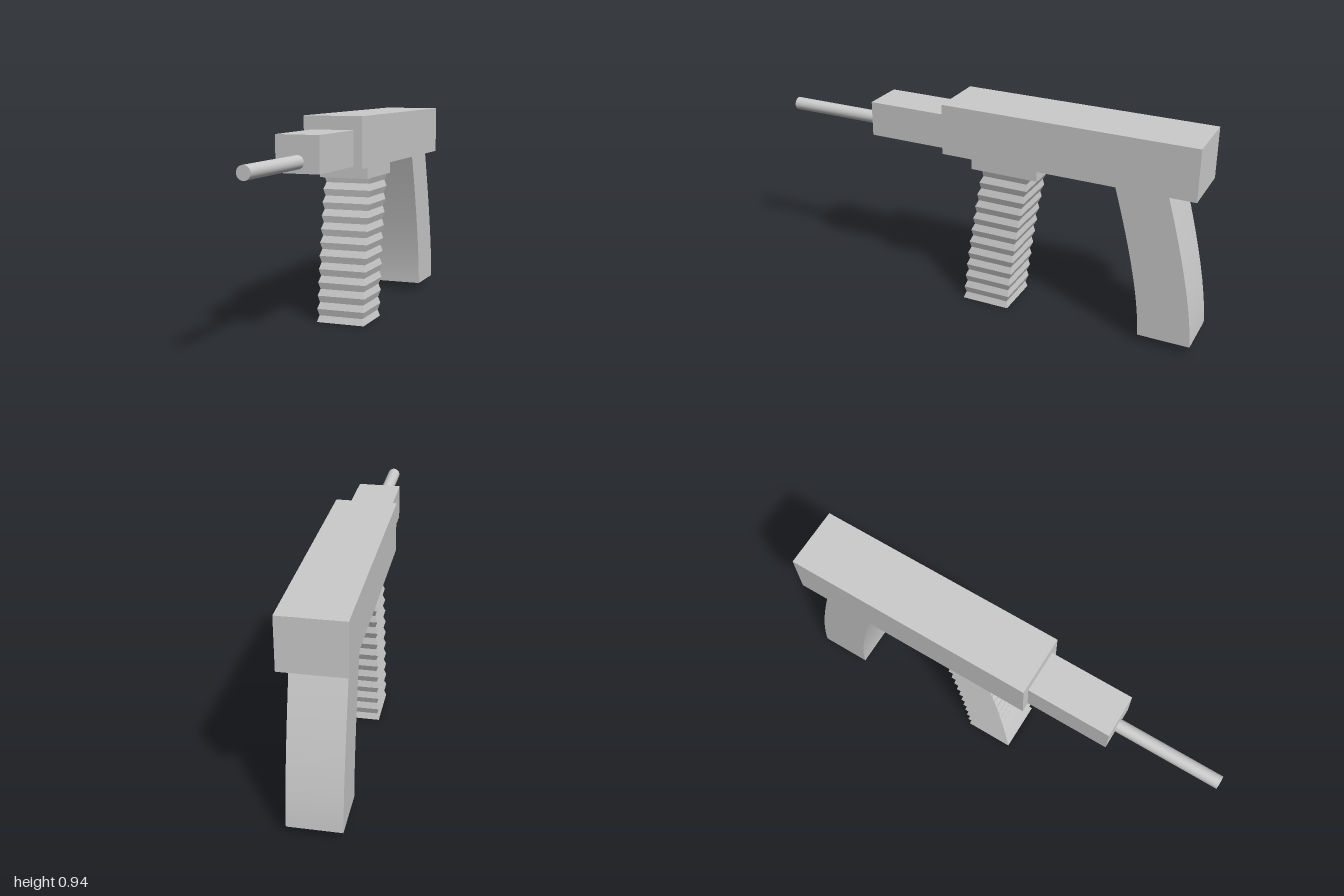
import * as THREE from 'three';
import { toCreasedNormals } from 'three/addons/utils/BufferGeometryUtils.js';

const material = new THREE.MeshStandardMaterial({ color: 0xcccccc });
const flatMaterial = new THREE.MeshStandardMaterial({ color: 0xcccccc, flatShading: true });

function addMesh(group, name, geometry, mat = material) {
  const mesh = new THREE.Mesh(geometry, mat);
  mesh.name = name;
  group.add(mesh);
  return mesh;
}

// Box centred on x, given by its half width and its y and z ranges
function addBox(group, name, halfWidth, y0, y1, z0, z1) {
  const mesh = addMesh(group, name, new THREE.BoxGeometry(2 * halfWidth, y1 - y0, z1 - z0));
  mesh.position.set(0, (y0 + y1) / 2, (z0 + z1) / 2);
}

// Stack of rectangles, alternately wide and narrow, along a backward bend
function ridgedGripGeometry() {
  const levels = 22, step = 0.03, positions = [], index = [];
  for (let i = 0; i <= levels; i++) {
    const t = i / levels;
    const wide = i % 2 === 0;
    const hx = wide ? 0.113 : 0.104;
    const hz = wide ? 0.111 : 0.102;
    const zc = -0.044 - 0.055 * t - 0.041 * t * t;
    const y = i * step;
    positions.push(-hx, y, zc + hz, hx, y, zc + hz, hx, y, zc - hz, -hx, y, zc - hz);
  }
  for (let i = 0; i < levels; i++) {
    for (let k = 0; k < 4; k++) {
      const a = i * 4 + k, b = i * 4 + (k + 1) % 4;
      index.push(a, b, b + 4, a, b + 4, a + 4);
    }
  }
  // Bottom and top caps
  const n = levels * 4;
  index.push(0, 2, 1, 0, 3, 2, n, n + 1, n + 2, n, n + 2, n + 3);
  const geometry = new THREE.BufferGeometry();
  geometry.setAttribute('position', new THREE.Float32BufferAttribute(positions, 3));
  geometry.setIndex(index);
  const flat = geometry.toNonIndexed();
  flat.computeVertexNormals();
  return flat;
}

// Side profile (z, y) swept across the width
function rearGripGeometry() {
  const shape = new THREE.Shape();
  shape.moveTo(-0.63, 0.715);
  shape.quadraticCurveTo(-0.765, 0.265, -0.77, 0.035);
  shape.lineTo(-1.0, 0.035);
  shape.quadraticCurveTo(-0.99, 0.265, -0.856, 0.715);
  shape.closePath();
  const geometry = new THREE.ExtrudeGeometry(shape, { depth: 0.226, bevelEnabled: false, curveSegments: 16 });
  geometry.translate(0, 0, -0.113);
  geometry.rotateY(-Math.PI / 2);
  return toCreasedNormals(geometry, 0.5);
}

export function createModel() {
  const model = new THREE.Group();
  model.name = 'model';

  // Main housing, fore block and mounting plate
  addBox(model, 'body', 0.135, 0.712, 0.938, -0.978, 0.152);
  addBox(model, 'foreBlock', 0.096, 0.722, 0.878, 0.152, 0.528);
  addBox(model, 'gripPlate', 0.113, 0.657, 0.712, -0.286, 0.022);

  // Barrel
  const barrel = addMesh(model, 'barrel', new THREE.CylinderGeometry(0.029, 0.029, 0.472, 32));
  barrel.rotation.x = Math.PI / 2;
  barrel.position.set(0, 0.768, 0.764);

  // Grips
  addMesh(model, 'ridgedGrip', ridgedGripGeometry(), flatMaterial);
  addMesh(model, 'rearGrip', rearGripGeometry());

  return model;
}
